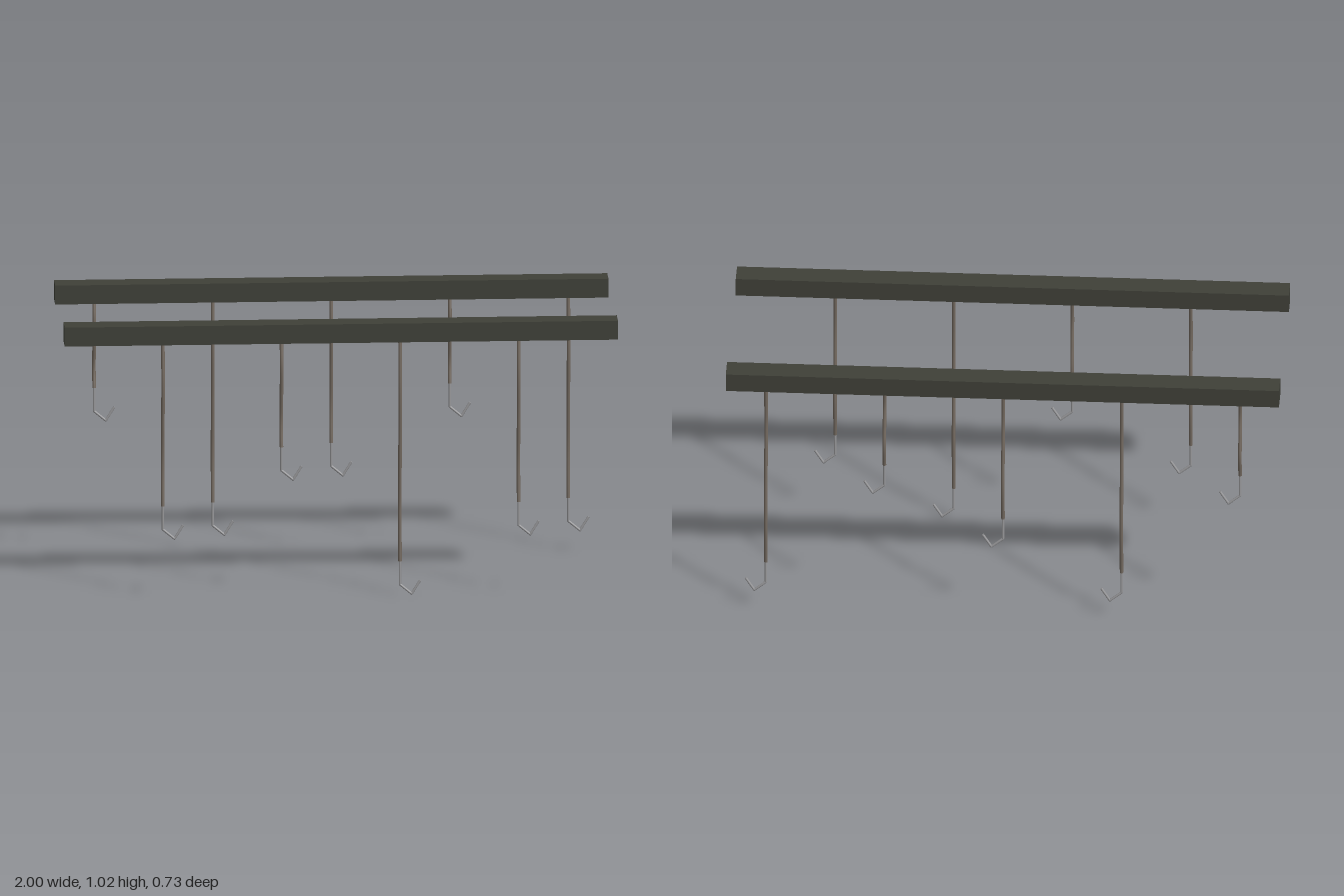
import * as THREE from 'three';

const beamMat = new THREE.MeshStandardMaterial({ color: 0x3f4038 });
beamMat.name = 'dark beam';
const ropeMat = new THREE.MeshStandardMaterial({ color: 0x746a60 });
ropeMat.name = 'brown rope';
const hookMat = new THREE.MeshStandardMaterial({ color: 0x98989a });
hookMat.name = 'grey metal';

const BEAM_Z = 0.322, BEAM_BOTTOM = 0.949, BEAM_TOP = 1.019;
const SHANK = 0.086, ROPE_R = 0.0065, HOOK_R = 0.0045;

function add(parent, geometry, material, name) {
  const mesh = new THREE.Mesh(geometry, material);
  mesh.name = name;
  parent.add(mesh);
  return mesh;
}

// Straight round rod between two points
function addRod(parent, a, b, name) {
  const dir = b.clone().sub(a);
  const rod = add(parent, new THREE.CylinderGeometry(HOOK_R, HOOK_R, dir.length(), 16), hookMat, name);
  rod.position.copy(a).add(b).multiplyScalar(0.5);
  rod.quaternion.setFromUnitVectors(new THREE.Vector3(0, 1, 0), dir.normalize());
}

// Rope with a gentle sway in z, ending in a bent metal hook
function hangingHook(x, z, bottom) {
  const g = new THREE.Group();
  g.name = 'hangingHook';
  g.position.set(x, 0, z);

  const top = BEAM_BOTTOM + 0.005, end = bottom + SHANK;
  const points = [0, 0.25, 0.5, 0.75, 1].map((t) =>
    new THREE.Vector3(0, THREE.MathUtils.lerp(top, end, t), 0.013 * Math.sin(t * Math.PI * 2)));
  const curve = new THREE.CatmullRomCurve3(points);
  add(g, new THREE.TubeGeometry(curve, 16, ROPE_R, 16), ropeMat, 'rope');

  const path = [[0, end + 0.004], [0, bottom], [0.042, bottom - 0.035], [0.073, bottom + 0.015]]
    .map(([px, py]) => new THREE.Vector3(px, py, 0));
  const names = ['hookShank', 'hookBend', 'hookTip'];
  names.forEach((name, i) => addRod(g, path[i], path[i + 1], name));

  // Rounded corners of the bent rod
  for (const p of path.slice(1, 3)) {
    add(g, new THREE.SphereGeometry(HOOK_R, 16, 10), hookMat, 'hookCorner').position.copy(p);
  }
  return g;
}

export function createModel() {
  const model = new THREE.Group();
  model.name = 'hangingHookRack';

  // Two parallel beams
  for (const side of [1, -1]) {
    const beam = add(model, new THREE.BoxGeometry(2, BEAM_TOP - BEAM_BOTTOM, 0.085), beamMat,
      side > 0 ? 'frontBeam' : 'backBeam');
    beam.position.set(0, (BEAM_TOP + BEAM_BOTTOM) / 2, side * BEAM_Z);
  }

  // Nine hooks, alternating between the back and front beams
  const bottoms = [0.541, 0.255, 0.111, 0.469, 0.326, 0.04, 0.541, 0.255, 0.111];
  bottoms.forEach((bottom, i) => {
    model.add(hangingHook((i - 4) * 0.2143, i % 2 ? BEAM_Z : -BEAM_Z, bottom));
  });
  return model;
}
